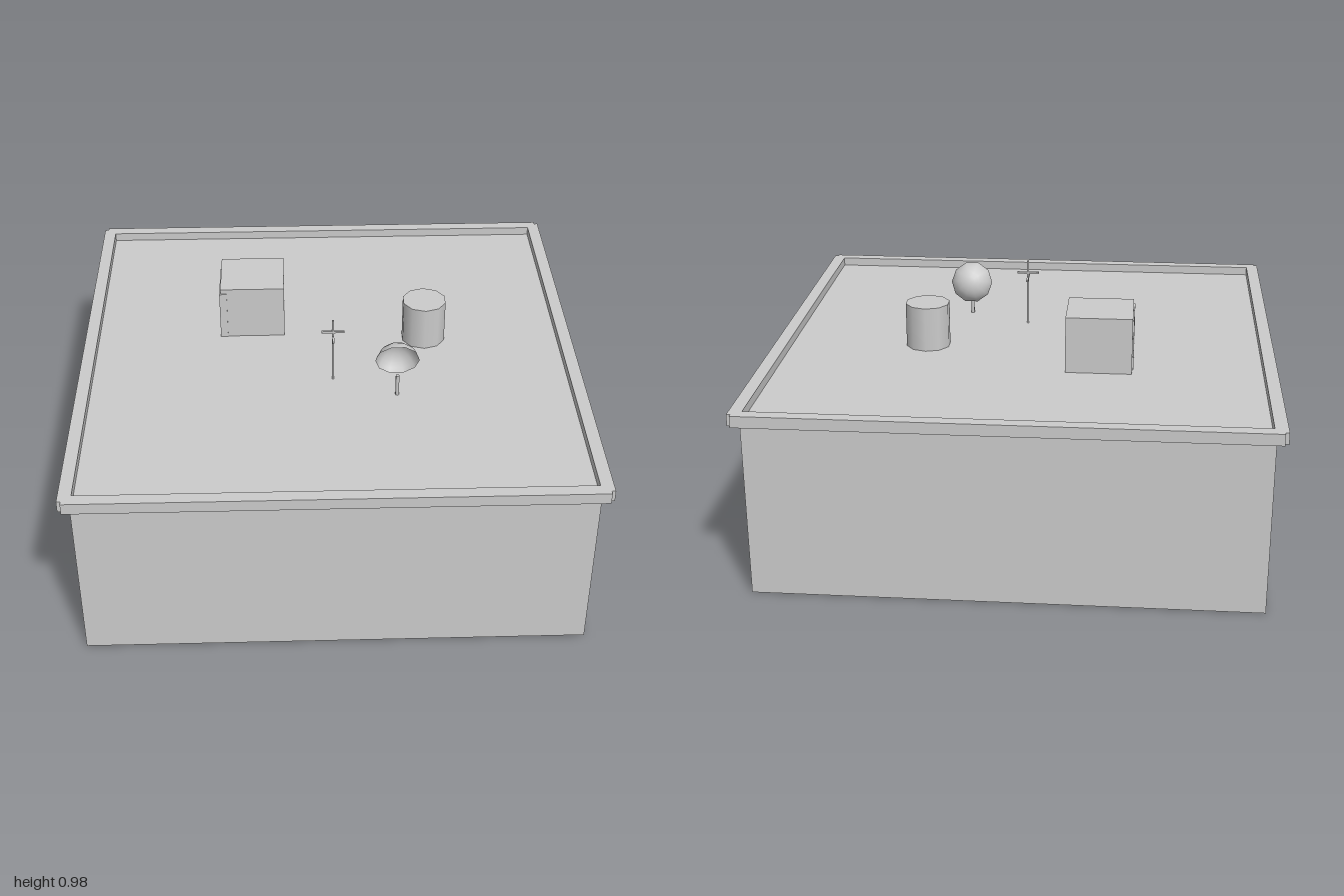
import * as THREE from 'three';

const grey = new THREE.MeshStandardMaterial({ color: 0xcccccc });
const greyOpen = new THREE.MeshStandardMaterial({ color: 0xcccccc, side: THREE.DoubleSide });
const ROOF = 0.7;

export function createModel() {
  const model = new THREE.Group();

  const add = (name, geometry, x, y, z, material = grey) => {
    const mesh = new THREE.Mesh(geometry, material);
    mesh.name = name;
    mesh.position.set(x, y, z);
    model.add(mesh);
    return mesh;
  };
  const box = (name, w, h, d, x, y, z) => add(name, new THREE.BoxGeometry(w, h, d), x, y, z);
  // Upright cylinder given by its base and top heights
  const post = (name, r, base, top, x, z, sides) =>
    add(name, new THREE.CylinderGeometry(r, r, top - base, sides), x, (base + top) / 2, z);

  // Building block, its top is the roof deck
  box('building', 1.92, ROOF, 1.92, 0, ROOF / 2, 0);

  // Parapet bars, leaving small notches at the corners
  for (const s of [-1, 1]) {
    box('parapetLong', 1.97, 0.045, 0.05, 0, 0.7125, s * 0.975);
    box('parapetSide', 0.05, 0.045, 1.97, s * 0.975, 0.7125, 0);
  }

  // Stair hut with a door slab proud of its side
  box('roofHut', 0.26, 0.225, 0.25, -0.31, 0.8125, -0.254);
  box('hutDoor', 0.03, 0.205, 0.205, -0.43, 0.8025, -0.2265);

  // Water tank
  post('waterTank', 0.09, ROOF, 0.88, 0.395, -0.1, 10);

  // Antenna mast with two crossed bars
  post('antennaMast', 0.005, ROOF, 0.975, 0.011, 0.195, 6);
  box('antennaBarX', 0.09, 0.008, 0.008, 0.011, 0.922, 0.195);
  box('antennaBarZ', 0.008, 0.008, 0.09, 0.011, 0.9, 0.195);

  // Dish: an open spherical cap tipped backwards on a short post
  post('dishPost', 0.008, ROOF, 0.79, 0.26, 0.312, 6);
  const cap = new THREE.SphereGeometry(0.09, 10, 6, 0, Math.PI * 2, 0, 1.31);
  add('dish', cap, 0.26, 0.837, 0.31, greyOpen).rotation.x = -1.22;

  return model;
}
